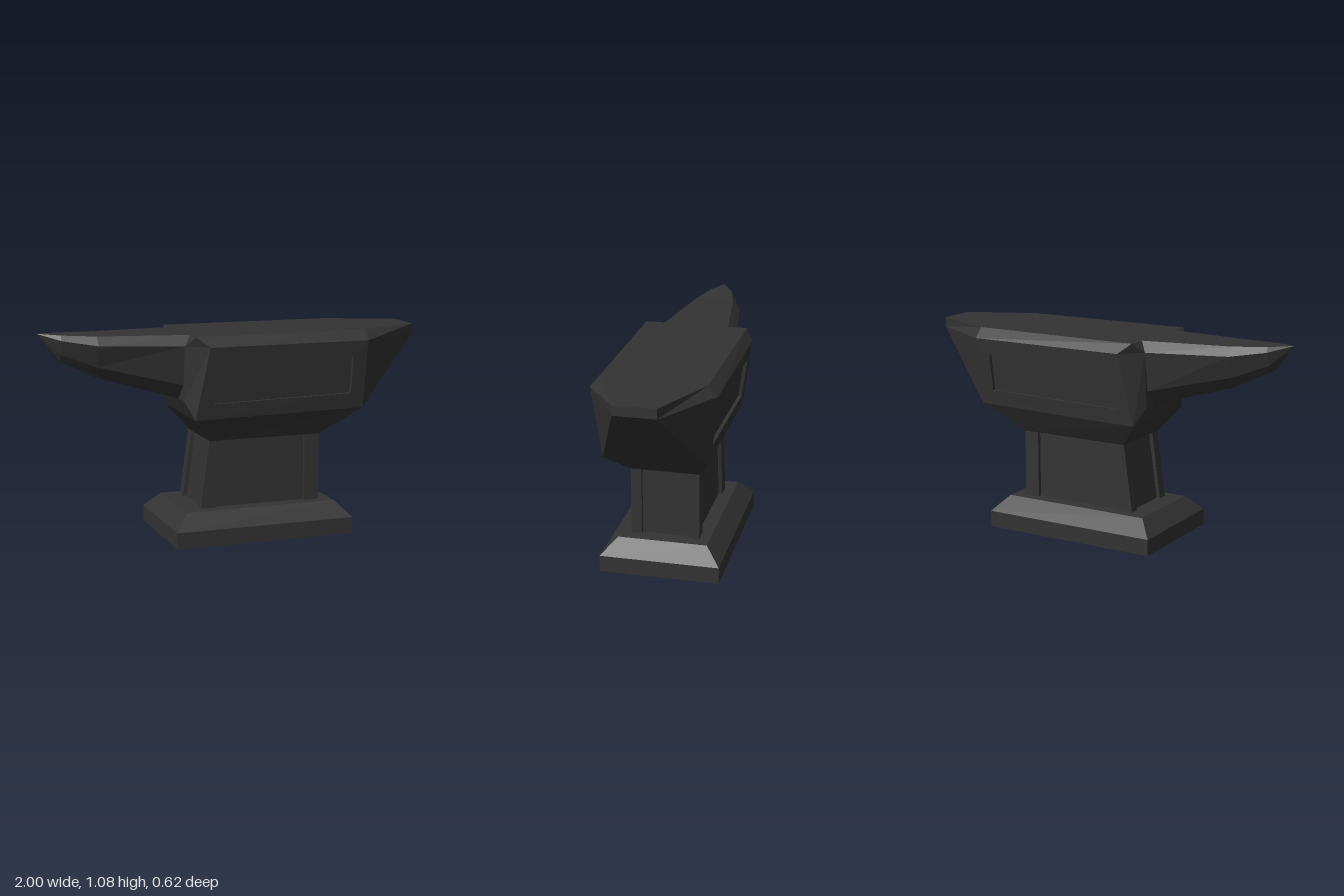
import * as THREE from 'three';

const material = new THREE.MeshStandardMaterial({ color: 0x333333, flatShading: true });
const m = ([x, y, z]) => [x, y, -z]; // mirror across the centre plane

// Collects convex polygons and turns them into one flat-shaded mesh
class Faces {
  constructor() { this.pos = []; }
  add(...p) {
    for (let i = 1; i < p.length - 1; i++) this.pos.push(...p[0], ...p[i], ...p[i + 1]);
  }
  // polygon on the +z side together with its mirror image
  both(...p) {
    this.add(...p);
    this.add(...p.map(m).reverse());
  }
  // polygon crossing the centre plane, from one edge on the +z side
  across(a, b) { this.add(a, b, m(b), m(a)); }
  mesh(name) {
    const g = new THREE.BufferGeometry();
    g.setAttribute('position', new THREE.Float32BufferAttribute(this.pos, 3));
    g.computeVertexNormals();
    const mesh = new THREE.Mesh(g, material);
    mesh.name = name;
    return mesh;
  }
}

// Stacks plan outlines (clockwise x,z pairs seen from above are reversed by the caller) with caps
function loft(name, levels) {
  const f = new Faces();
  const n = levels[0].pts.length;
  const at = (l, i) => [l.pts[i % n][0], l.y, l.pts[i % n][1]];
  for (let k = 0; k < levels.length - 1; k++) {
    const lo = levels[k], hi = levels[k + 1];
    for (let i = 0; i < n; i++) f.add(at(lo, i), at(lo, i + 1), at(hi, i + 1), at(hi, i));
  }
  const top = levels[levels.length - 1];
  f.add(...top.pts.map((_, i) => at(top, i)));
  f.add(...levels[0].pts.map((_, i) => at(levels[0], i)).reverse());
  return f.mesh(name);
}

const rect = (x0, x1, z) => [[x0, z], [x1, z], [x1, -z], [x0, -z]];

// Rectangle whose four sides are set back between the corner posts
function postedRect(x0, x1, z) {
  const px = 0.08, pz = 0.055, d = 0.02;
  return [
    [x0, z], [x0 + px, z], [x0 + px, z - d], [x1 - px, z - d], [x1 - px, z],
    [x1, z], [x1, z - pz], [x1 - d, z - pz], [x1 - d, pz - z], [x1, pz - z],
    [x1, -z], [x1 - px, -z], [x1 - px, d - z], [x0 + px, d - z], [x0 + px, -z],
    [x0, -z], [x0, pz - z], [x0 + d, pz - z], [x0 + d, z - pz], [x0, z - pz],
  ];
}

// Shared corners where the horn meets the body
const hornTop = [-0.26, 1.06, 0.17];
const hornRim = [-0.30, 1.01, 0.21];
const hornFoot = [-0.30, 0.73, 0.19];

function createBody() {
  const f = new Faces();
  const sideZ = y => 0.255 + 0.055 * (y - 0.645) / 0.365;
  const rimL = [-0.20, 1.01, 0.31], rimR = [0.65, 1.01, 0.31];
  const lowL = [-0.26, 0.64, 0.255], lowR = [0.65, 0.655, 0.255];
  const topL = [-0.26, 1.06, 0.27], topR = [0.65, 1.06, 0.26];
  const heelLow = [1, 1.01, 0.105], heelTop = [1, 1.06, 0.105];
  const neckL = [-0.16, 0.515, 0.175], neckR = [0.44, 0.515, 0.175];

  // long sides with a recessed panel
  const outer = [lowL, lowR, rimR, rimL];
  const corners = [[-0.165, 0.72], [0.575, 0.735], [0.575, 0.93], [-0.14, 0.93]];
  const edge = corners.map(([x, y]) => [x, y, sideZ(y)]);
  const floor = corners.map(([x, y]) => [x, y, sideZ(y) - 0.018]);
  for (let i = 0; i < 4; i++) {
    const j = (i + 1) % 4;
    f.both(outer[i], outer[j], edge[j], edge[i]);
    f.both(edge[i], edge[j], floor[j], floor[i]);
  }
  f.both(...floor);

  // bevelled rim, heel cheeks, horn-end corners and lower taper
  f.both(rimL, rimR, topR, topL);
  f.both(rimR, heelLow, heelTop, topR);
  f.both(lowR, heelLow, rimR);
  f.both(hornFoot, lowL, rimL, hornRim);
  f.both(hornRim, rimL, topL);
  f.both(hornRim, topL, hornTop);
  f.both(neckL, neckR, lowR, lowL);

  // flat top
  f.add(topL, topR, heelTop, m(heelTop), m(topR), m(topL));
  // heel end, heel underside and neck
  f.across(heelTop, heelLow);
  f.across(heelLow, lowR);
  f.across(lowR, neckR);
  // horn end
  f.across(neckL, lowL);
  f.across(lowL, hornFoot);
  f.across(hornFoot, hornRim);
  // underside
  f.across(neckR, neckL);
  return f.mesh('body');
}

function createHorn() {
  const f = new Faces();
  const tip = [-1, 1.077, 0];
  // half sections from top edge down to the keel
  const sections = [
    [hornTop, hornRim, [-0.30, 0.81, 0.18], [-0.30, 0.73, 0.10]],
    [[-0.72, 1.064, 0.105], [-0.72, 1.02, 0.142], [-0.72, 0.91, 0.105], [-0.72, 0.855, 0.06]],
    [[-0.89, 1.071, 0.062], [-0.89, 1.045, 0.075], [-0.89, 0.975, 0.055], [-0.89, 0.94, 0.03]],
    [tip, tip, tip, tip],
  ];
  for (let i = 0; i < sections.length - 1; i++) {
    const a = sections[i], b = sections[i + 1];
    for (let j = 0; j < 3; j++) f.both(b[j + 1], a[j + 1], a[j], b[j]);
    f.across(b[0], a[0]);
    f.across(a[3], b[3]);
  }
  return f.mesh('horn');
}

export function createModel() {
  const group = new THREE.Group();
  group.name = 'anvil';
  group.add(
    loft('base', [
      { y: 0, pts: rect(-0.375, 0.58, 0.305) },
      { y: 0.085, pts: rect(-0.375, 0.58, 0.305) },
      { y: 0.165, pts: rect(-0.30, 0.505, 0.228) },
    ]),
    loft('waist', [
      { y: 0.16, pts: postedRect(-0.21, 0.44, 0.175) },
      { y: 0.518, pts: postedRect(-0.16, 0.44, 0.175) },
    ]),
    createBody(),
    createHorn(),
  );
  return group;
}
